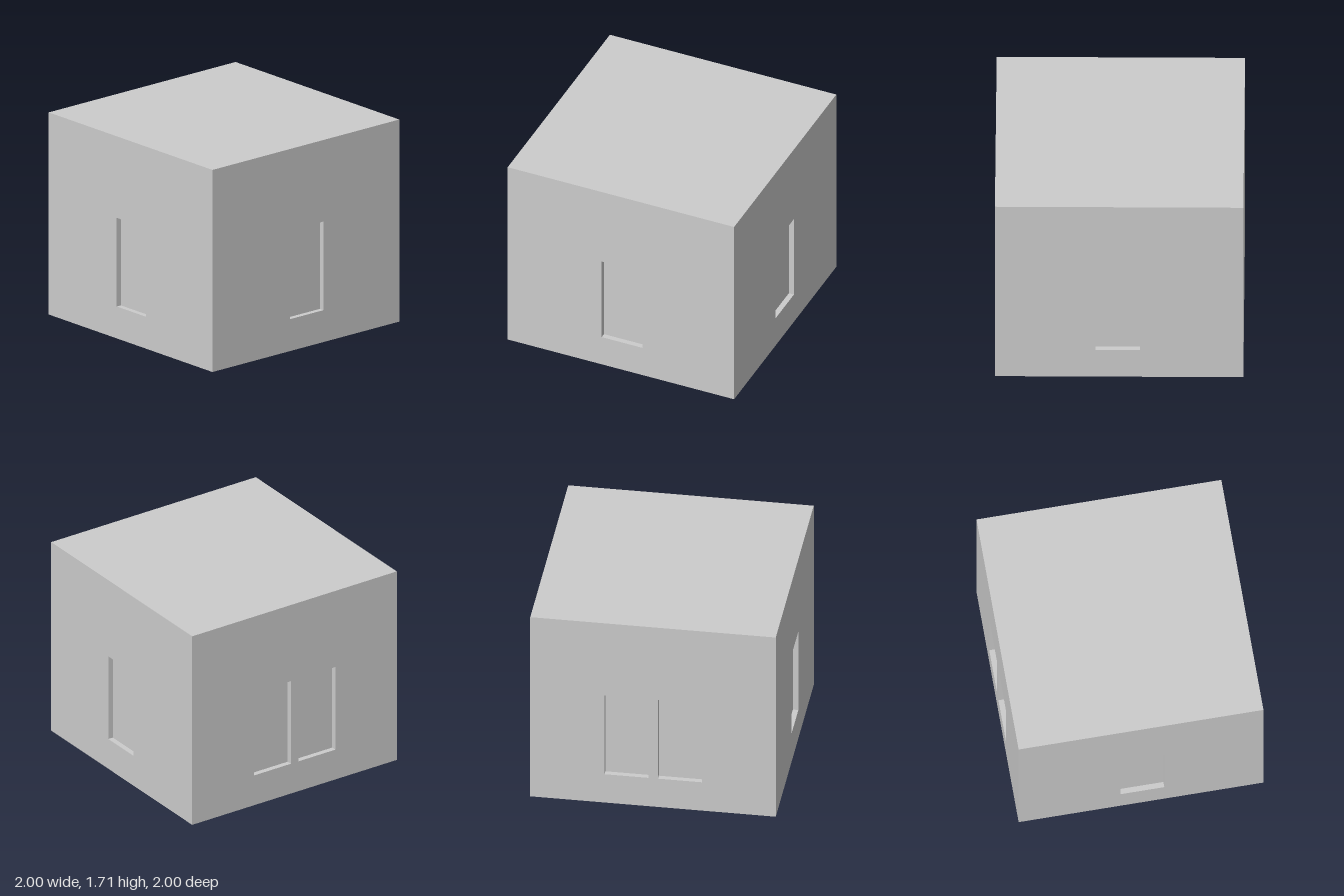
import * as THREE from 'three';

const H = 1.71;                    // wall height
const SILL = 0.27, HEAD = 1.02;    // window bottom and top
const WIDTH = 0.36, DEPTH = 0.045; // window width and recess depth

const material = new THREE.MeshStandardMaterial({ color: 0xcccccc, flatShading: true });

function plane(name, w, h, position, rx = 0, ry = 0) {
  const mesh = new THREE.Mesh(new THREE.PlaneGeometry(w, h), material);
  mesh.name = name;
  mesh.position.set(...position);
  mesh.rotation.set(rx, ry, 0);
  return mesh;
}

// Recessed blind window: pane, two jambs, sill and lintel
function createWindow(x) {
  const group = new THREE.Group();
  group.name = 'window';
  const h = HEAD - SILL, y = (HEAD + SILL) / 2, z = 1 - DEPTH / 2, q = Math.PI / 2;
  group.add(
    plane('pane', WIDTH, h, [x, y, 1 - DEPTH]),
    plane('jambA', DEPTH, h, [x - WIDTH / 2, y, z], 0, q),
    plane('jambB', DEPTH, h, [x + WIDTH / 2, y, z], 0, -q),
    plane('sill', WIDTH, DEPTH, [x, SILL, z], -q),
    plane('lintel', WIDTH, DEPTH, [x, HEAD, z], q)
  );
  return group;
}

// Wall facing local +z, pierced at each window centre, then turned into place
function createWall(name, angle, centres) {
  const group = new THREE.Group();
  group.name = name;
  const shape = new THREE.Shape().moveTo(-1, 0).lineTo(1, 0).lineTo(1, H).lineTo(-1, H).closePath();
  for (const x of centres) {
    const a = x - WIDTH / 2, b = x + WIDTH / 2;
    shape.holes.push(new THREE.Path().moveTo(a, SILL).lineTo(a, HEAD).lineTo(b, HEAD).lineTo(b, SILL).closePath());
    group.add(createWindow(x));
  }
  const face = new THREE.Mesh(new THREE.ShapeGeometry(shape), material);
  face.name = 'wallFace';
  face.position.z = 1;
  group.add(face);
  group.rotation.y = angle;
  return group;
}

export function createModel() {
  const model = new THREE.Group();
  model.name = 'building';
  model.add(
    createWall('frontWall', 0, [0.01]),
    createWall('leftWall', Math.PI / 2, [-0.01]),
    createWall('backWall', Math.PI, [-0.215, 0.22]),
    createWall('rightWall', -Math.PI / 2, [0.01]),
    plane('roof', 2, 2, [0, H, 0], -Math.PI / 2),
    plane('floor', 2, 2, [0, 0, 0], Math.PI / 2)
  );
  return model;
}
